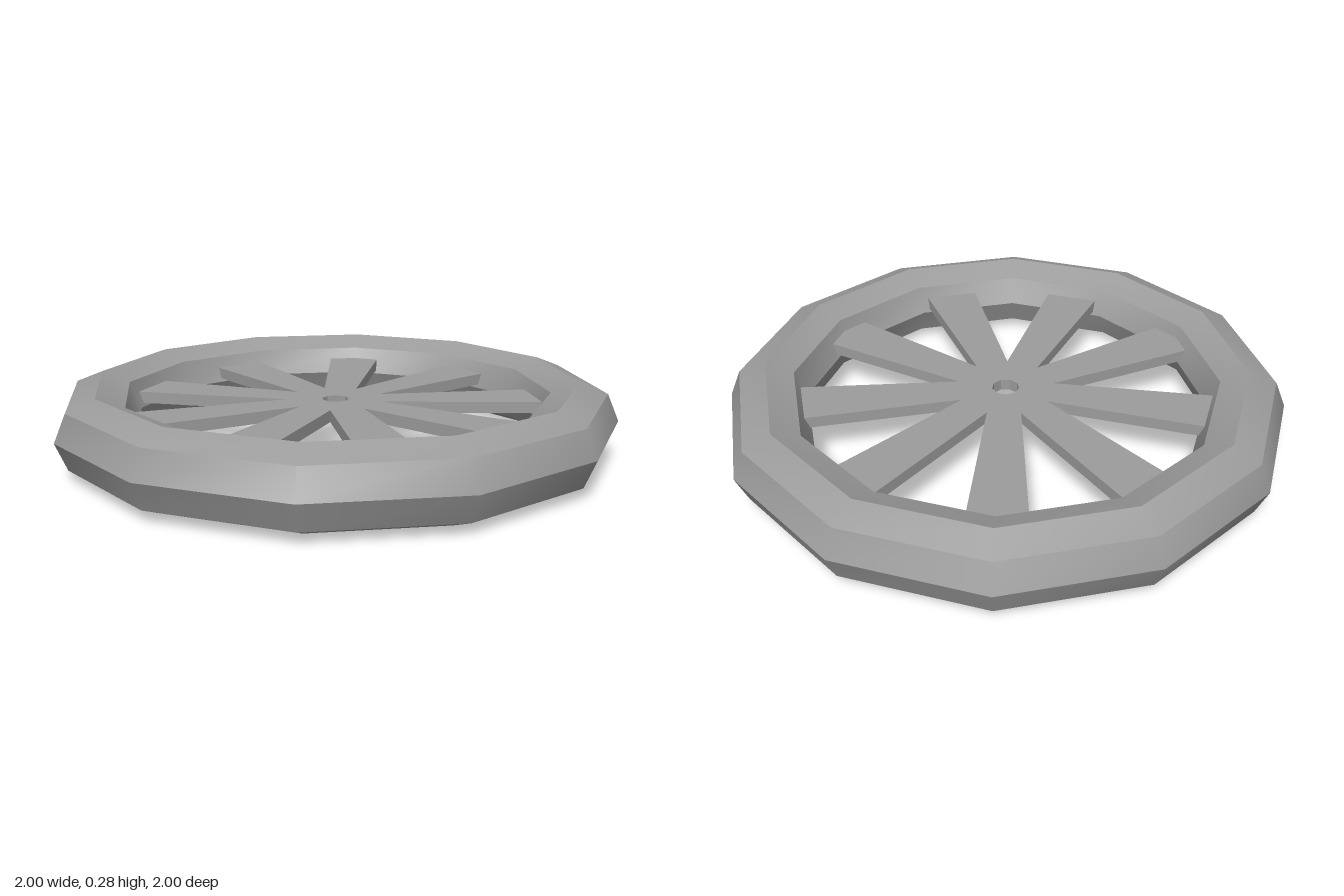
import * as THREE from 'three';
import { toCreasedNormals } from 'three/addons/utils/BufferGeometryUtils.js';

const deg = THREE.MathUtils.degToRad;
const polar = (r, a) => new THREE.Vector2(r * Math.cos(a), r * Math.sin(a));

export function createModel() {
  const wheel = new THREE.Group();
  wheel.name = 'spokedWheel';
  const material = new THREE.MeshStandardMaterial({ color: 0x9c9c9c });

  const addPart = (name, geometry, y) => {
    geometry.rotateX(Math.PI / 2);
    const mesh = new THREE.Mesh(toCreasedNormals(geometry, deg(35)), material);
    mesh.name = name;
    mesh.position.y = y;
    wheel.add(mesh);
  };

  // Rim: twelve-sided ring with a slightly flattened octagonal section
  const rim = new THREE.TorusGeometry(0.8835, 0.1435, 8, 12);
  rim.scale(1, 1, 0.14 / 0.1435);
  rim.rotateZ(deg(13.2));
  addPart('rim', rim, 0.14);

  // Hub and spokes: one star-shaped plate, its widening spokes sunk into the rim
  const spokes = 9;
  const step = (2 * Math.PI) / spokes;
  const tip = Math.atan2(0.105, 0.8);
  const tipRadius = Math.hypot(0.105, 0.8);
  const outline = [];
  for (let i = 0; i < spokes; i++) {
    const a = deg(3) + i * step;
    outline.push(polar(0.179, a - step / 2), polar(tipRadius, a - tip), polar(tipRadius, a + tip));
  }
  const star = new THREE.Shape(outline);

  // Axle hole
  const hole = [];
  for (let i = 0; i < 9; i++) hole.push(polar(0.05, -i * step));
  star.holes.push(new THREE.Path(hole));

  addPart('hubAndSpokes', new THREE.ExtrudeGeometry(star, { depth: 0.043, bevelEnabled: false }), 0.196);

  return wheel;
}
